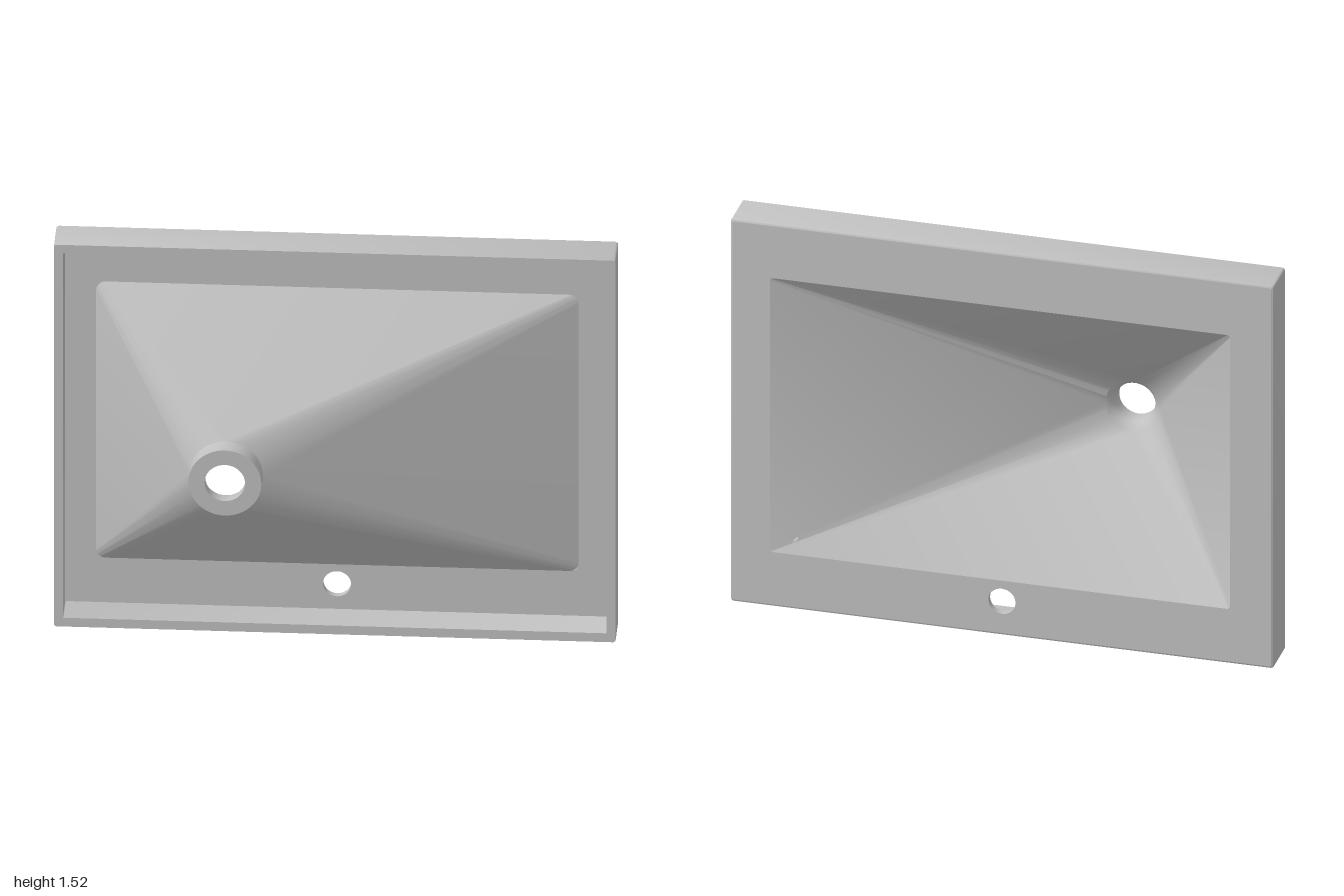
import * as THREE from 'three';
import { toCreasedNormals } from 'three/addons/utils/BufferGeometryUtils.js';

const DRAIN = [-0.37, 0.765];
const BACK = -0.245, FLOOR = -0.22, RIM = -0.09;

// Rounded rectangle cross-section, anticlockwise seen from +z
function ring(x0, x1, y0, y1, r, z, steps = 12) {
  const centres = [[x1 - r, y1 - r], [x0 + r, y1 - r], [x0 + r, y0 + r], [x1 - r, y0 + r]];
  const points = [];
  centres.forEach(([cx, cy], corner) => {
    for (let i = 0; i <= steps; i++) {
      const a = (corner + i / steps) * Math.PI / 2;
      points.push(new THREE.Vector3(cx + r * Math.cos(a), cy + r * Math.sin(a), z));
    }
  });
  return points;
}

// Circle around the drain with the same point count as a rectangle
function circle(r, z) {
  return ring(DRAIN[0] - r, DRAIN[0] + r, DRAIN[1] - r, DRAIN[1] + r, r, z);
}

// Skin a sequence of cross-sections
function loft(rings, closed = true) {
  const n = rings[0].length;
  const index = [];
  for (let j = 0; j < rings.length - 1; j++) {
    for (let i = 0; i < (closed ? n : n - 1); i++) {
      const a = j * n + i, b = j * n + (i + 1) % n;
      index.push(a, b, b + n, a, b + n, a + n);
    }
  }
  const geometry = new THREE.BufferGeometry().setFromPoints(rings.flat());
  geometry.setIndex(index);
  return toCreasedNormals(geometry, 0.5);
}

export function createModel() {
  const group = new THREE.Group();
  const ceramic = new THREE.MeshStandardMaterial({ color: 0xc0c0c0 });
  ceramic.name = 'grey ceramic';
  const add = (name, geometry) => {
    const mesh = new THREE.Mesh(geometry, ceramic);
    mesh.name = name;
    group.add(mesh);
  };

  // Outer sides, narrow rim and inside of the skirt
  const backEdge = ring(-0.992, 0.992, 0.008, 1.517, 0.008, BACK);
  add('skirt', loft([
    backEdge,
    ring(-0.998, 0.998, 0.002, 1.523, 0.01, BACK + 0.003),
    ring(-1, 1, 0, 1.525, 0.01, BACK + 0.009),
    ring(-1, 1, 0, 1.525, 0.01, RIM),
    ring(-0.968, 0.968, 0.035, 1.492, 0.004, RIM),
    ring(-0.968, 0.968, 0.035, 1.492, 0.004, FLOOR),
  ]));

  // Deck plate with basin opening and tap hole
  const opening = ring(-0.84, 0.854, 0.217, 1.31, 0.012, BACK);
  const deck = new THREE.Shape(backEdge.map(p => new THREE.Vector2(p.x, p.y)));
  deck.holes.push(new THREE.Path(opening.map(p => new THREE.Vector2(p.x, p.y))));
  const tapHole = new THREE.Path();
  tapHole.absarc(0, 0.135, 0.05, 0, Math.PI * 2, true);
  deck.holes.push(tapHole);
  const deckGeometry = new THREE.ExtrudeGeometry(deck, {
    depth: FLOOR - BACK, bevelEnabled: false, curveSegments: 32,
  });
  deckGeometry.translate(0, 0, BACK);
  add('deck', deckGeometry);

  // Basin: outside slope, drain collar, drain hole, then inside slope
  add('basin', loft([
    ring(-0.857, 0.86, 0.213, 1.317, 0.035, FLOOR),
    circle(0.132, 0.18),
    circle(0.13, 0.192),
    circle(0.13, 0.245),
    circle(0.072, 0.245),
    circle(0.072, 0.205),
    circle(0.077, 0.19),
    circle(0.086, 0.177),
    circle(0.1, 0.162),
    opening,
  ]));

  // Soft flare where the shallow slope runs out into the deck
  const flare = [[0.76, 0.5, -0.187], [0.82, 0.55, -0.205], [0.87, 0.6, -0.214], [0.96, 0.67, -0.2195]];
  const rows = flare.map(([x, half, z]) => [
    new THREE.Vector3(x, 0.765 + half, Math.min(z, FLOOR + 0.001)),
    new THREE.Vector3(x, 0.765 + half * 0.93, z),
    new THREE.Vector3(x, 0.765 - half * 0.93, z),
    new THREE.Vector3(x, 0.765 - half, Math.min(z, FLOOR + 0.001)),
  ]);
  add('basinFlare', loft(rows.reverse(), false));

  return group;
}
